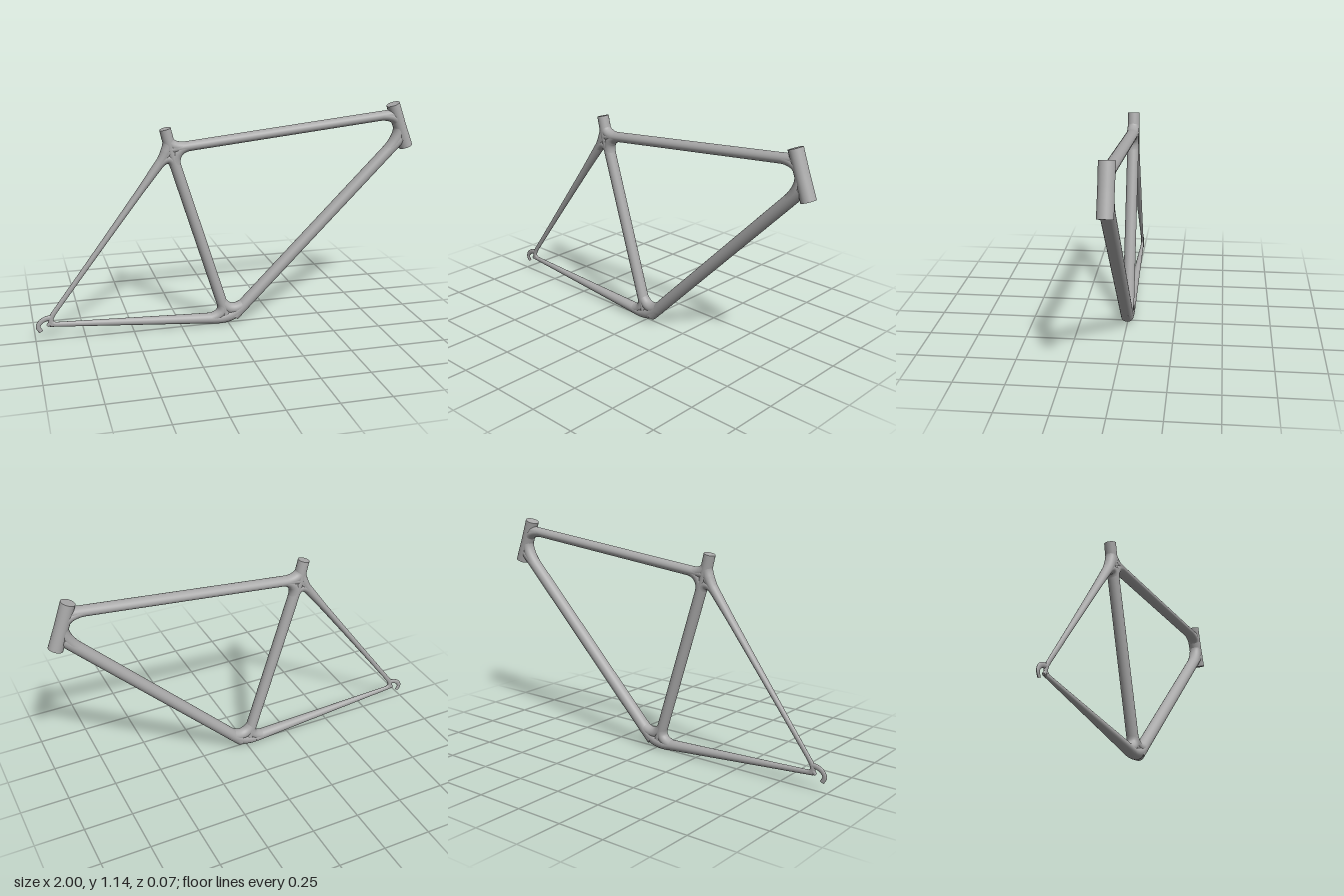
import * as THREE from 'three';

const SIDES = 28;
const paint = new THREE.MeshStandardMaterial({ color: 0xaaaaaa });
paint.name = 'frame grey';

// Sweeps an ellipse along a path in the xy plane.
// radii: list of [in-plane radius, z radius], spread evenly along the path.
function sweep(curve, steps, radii) {
  const pos = [], idx = [];
  const ring = (t) => {
    const p = curve.getPoint(t), d = curve.getTangent(t);
    const f = t * (radii.length - 1), i = Math.min(Math.floor(f), radii.length - 2), k = f - i;
    const a = THREE.MathUtils.lerp(radii[i][0], radii[i + 1][0], k);
    const b = THREE.MathUtils.lerp(radii[i][1], radii[i + 1][1], k);
    const start = pos.length / 3;
    for (let s = 0; s < SIDES; s++) {
      const w = (s / SIDES) * Math.PI * 2, u = a * Math.cos(w);
      pos.push(p.x - d.y * u, p.y + d.x * u, b * Math.sin(w));
    }
    return start;
  };
  for (let i = 0; i <= steps; i++) ring(i / steps);
  for (let i = 0; i < steps; i++) {
    for (let s = 0; s < SIDES; s++) {
      const n = (s + 1) % SIDES, a = i * SIDES, b = a + SIDES;
      idx.push(a + s, a + n, b + s, a + n, b + n, b + s);
    }
  }
  // flat end caps with their own vertices
  for (const end of [0, 1]) {
    const o = ring(end), p = curve.getPoint(end), c = pos.length / 3;
    pos.push(p.x, p.y, 0);
    for (let s = 0; s < SIDES; s++) {
      const n = (s + 1) % SIDES;
      if (end) idx.push(c, o + s, o + n);
      else idx.push(c, o + n, o + s);
    }
  }
  const g = new THREE.BufferGeometry();
  g.setAttribute('position', new THREE.Float32BufferAttribute(pos, 3));
  g.setIndex(idx);
  g.computeVertexNormals();
  return g;
}

const v = ([x, y]) => new THREE.Vector2(x, y);

export function createModel() {
  const frame = new THREE.Group();
  frame.name = 'bicycleFrame';

  const add = (name, curve, steps, radii) => {
    const m = new THREE.Mesh(sweep(curve, steps, radii), paint);
    m.name = name;
    frame.add(m);
  };
  const tube = (name, a, b, ...radii) => add(name, new THREE.LineCurve(v(a), v(b)), 24, radii);
  // curved web that rounds the corner between two tubes
  const blend = (name, a, corner, b, ...radii) =>
    add(name, new THREE.QuadraticBezierCurve(v(a), v(corner), v(b)), 24, radii);

  // main triangle
  const r = 0.028;
  tube('headTube', [0.883, 1.128], [0.966, 0.902], [0.035, 0.037], [0.034, 0.036], [0.036, 0.037]);
  tube('topTube', [-0.3, 0.956], [0.9, 1.077], [0.025, 0.031], [0.025, 0.031]);
  tube('downTube', [0.03, 0.04], [0.93, 0.948], [0.031, 0.033], [0.031, 0.034]);
  tube('seatTube', [-0.299, 0.965], [-0.012, 0.048], [r, 0.03], [r, 0.03]);
  tube('seatTubeTop', [-0.319, 1.058], [-0.293, 0.95], [0.029, 0.03], [0.029, 0.031]);

  // rear triangle, tapering to the dropout
  tube('seatStay', [-0.295, 0.957], [-0.915, 0.133], [0.027, 0.029], [0.018, 0.023], [0.015, 0.018], [0.013, 0.012], [0.012, 0.007]);
  tube('chainStay', [-0.05, 0.033], [-0.925, 0.088], [0.029, 0.032], [0.024, 0.026], [0.02, 0.02], [0.016, 0.014], [0.012, 0.008]);

  // bottom bracket joint
  blend('bottomBracket', [-0.1, 0.036], [0.015, 0.02], [0.09, 0.1], [0.027, 0.03], [0.034, 0.034], [0.031, 0.033]);
  blend('bracketFrontBlend', [-0.036, 0.125], [0.008, 0.05], [0.088, 0.098], [0.027, 0.029], [0.03, 0.031], [0.03, 0.032]);
  blend('bracketRearBlend', [-0.034, 0.115], [-0.015, 0.05], [-0.1, 0.036], [0.027, 0.029], [0.028, 0.031], [0.026, 0.03]);

  // seat joint
  blend('seatTopTubeBlend', [-0.266, 0.86], [-0.293, 0.957], [-0.19, 0.967], [0.027, 0.029], [0.03, 0.031], [0.024, 0.03]);
  blend('seatPostBlend', [-0.306, 1.005], [-0.293, 0.957], [-0.21, 0.965], [0.028, 0.029], [0.028, 0.031], [0.024, 0.03]);
  blend('seatStayBlend', [-0.268, 0.865], [-0.295, 0.955], [-0.365, 0.864], [0.027, 0.029], [0.028, 0.029], [0.02, 0.026]);
  blend('seatRearBlend', [-0.306, 1.005], [-0.295, 0.955], [-0.365, 0.864], [0.028, 0.029], [0.028, 0.03], [0.02, 0.026]);

  // head joint
  blend('headTopBlend', [0.8, 1.067], [0.9, 1.077], [0.922, 1.022], [0.024, 0.03], [0.027, 0.034], [0.033, 0.034]);
  blend('headBottomBlend', [0.85, 0.868], [0.935, 0.952], [0.92, 1.02], [0.03, 0.033], [0.03, 0.034], [0.028, 0.033]);

  // dropout body and hook
  blend('dropoutBody', [-0.898, 0.155], [-0.95, 0.09], [-0.885, 0.085], [0.012, 0.008], [0.014, 0.008], [0.012, 0.009]);
  const hook = [[-0.915, 0.125], [-0.945, 0.121], [-0.972, 0.106], [-0.985, 0.08], [-0.972, 0.054]];
  add('dropoutHook', new THREE.SplineCurve(hook.map(v)), 32, [[0.014, 0.008], [0.013, 0.007], [0.012, 0.006], [0.011, 0.005]]);
  tube('dropoutTip', [-0.92, 0.1], [-0.938, 0.082], [0.013, 0.008], [0.008, 0.006]);

  return frame;
}
